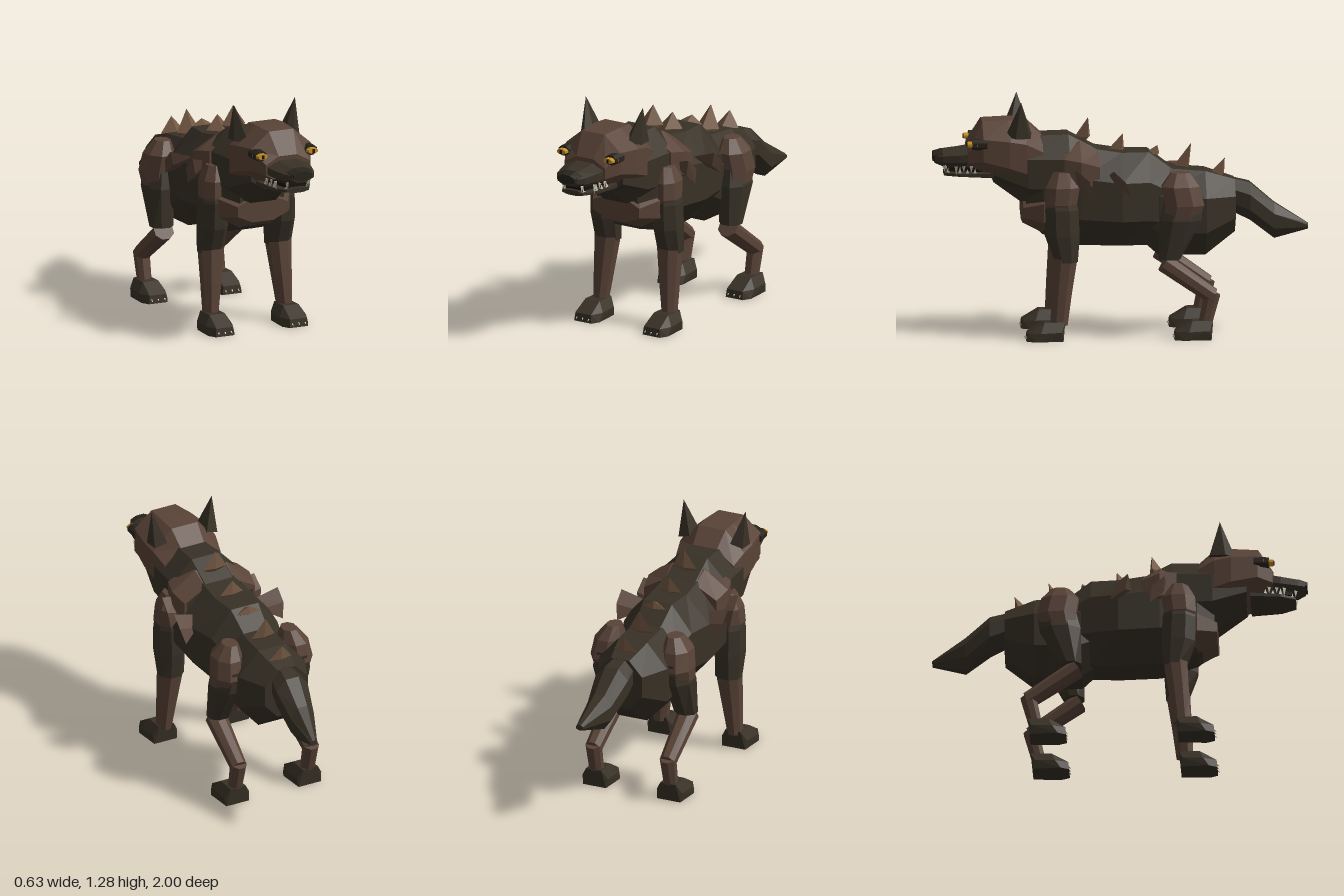
import * as THREE from 'three';
import { ConvexGeometry } from 'three/addons/geometries/ConvexGeometry.js';

const mat = (name, color) => {
  const m = new THREE.MeshStandardMaterial({ color });
  m.name = name;
  return m;
};
const V = (x, y, z) => new THREE.Vector3(x, y, z);

// Ring around a centre: rx across, r along a direction tilted from z (0) to y (90 degrees)
function ring(x, y, z, rx, r, tilt = 0, n = 8) {
  const t = THREE.MathUtils.degToRad(tilt), k = 1 / Math.cos(Math.PI / n), out = [];
  for (let i = 0; i < n; i++) {
    const a = (i + 0.5) / n * Math.PI * 2, c = Math.cos(a) * k * rx, s = Math.sin(a) * k * r;
    out.push(V(x + c, y + s * Math.sin(t), z + s * Math.cos(t)));
  }
  return out;
}
// Upright section given by its bottom and top heights
const slice = ([z, y0, y1, w, x = 0]) => ring(x, (y0 + y1) / 2, z, w, (y1 - y0) / 2, 90);

// Faceted skin through rings, capped at both ends and wound outward
function loft(rings) {
  const tris = [], n = rings[0].length;
  for (let k = 0; k + 1 < rings.length; k++) for (let i = 0; i < n; i++) {
    const j = (i + 1) % n, A = rings[k], B = rings[k + 1];
    tris.push([A[i], A[j], B[j]], [A[i], B[j], B[i]]);
  }
  const F = rings[0], L = rings[rings.length - 1];
  for (let i = 1; i + 1 < n; i++) tris.push([F[0], F[i + 1], F[i]], [L[0], L[i], L[i + 1]]);
  let vol = 0;
  for (const [a, b, c] of tris) vol += a.dot(b.clone().cross(c));
  if (vol < 0) tris.forEach(t => t.reverse());
  const g = new THREE.BufferGeometry().setFromPoints(tris.flat());
  g.computeVertexNormals();
  return g;
}

export function createModel() {
  const root = new THREE.Group();
  root.name = 'wolfBeast';
  const fur = mat('darkFur', 0x383126), brown = mat('brownHide', 0x594337),
    tan = mat('spineTan', 0x745843), gold = mat('eyeGold', 0xc98f22),
    bone = mat('toothBone', 0xc9c4b0), black = mat('mouthBlack', 0x17130f),
    nose = mat('noseDark', 0x28231c);
  const add = (name, geo, m) => {
    const mesh = new THREE.Mesh(geo, m);
    mesh.name = name;
    root.add(mesh);
    return mesh;
  };
  const slices = (name, m, list) => add(name, loft(list.map(slice)), m);
  const hull = (name, m, pts) => add(name, new ConvexGeometry(pts.map(p => V(...p))), m);
  const limb = (name, m, list) => add(name, loft(list.map(a => ring(...a))), m);

  // Trunk
  slices('ribcage', fur, [[0.51, 0.63, 0.85, 0.13], [0.42, 0.55, 0.97, 0.19], [0.22, 0.49, 1.02, 0.22],
    [0, 0.485, 0.985, 0.23], [-0.15, 0.485, 0.985, 0.2], [-0.29, 0.5, 0.88, 0.17]]);
  slices('chestPlate', brown, [[0.525, 0.61, 0.74, 0.15], [0.42, 0.56, 0.8, 0.21], [0.36, 0.6, 0.8, 0.2]]);
  slices('rump', fur, [[-0.12, 0.5, 0.88, 0.15], [-0.2, 0.43, 0.9, 0.19], [-0.45, 0.43, 0.88, 0.2], [-0.61, 0.55, 0.83, 0.13]]);
  slices('neck', fur, [[0.68, 0.83, 1, 0.15], [0.5, 0.7, 1.08, 0.19], [0.28, 0.68, 1.085, 0.2], [0.12, 0.75, 1, 0.2]]);
  slices('mane', brown, [[0.31, 0.8, 1.04, 0.21], [0.22, 0.73, 1.05, 0.235], [0.12, 0.76, 0.995, 0.215]]);
  slices('tail', fur, [[-0.52, 0.69, 0.85, 0.07], [-0.69, 0.61, 0.81, 0.095, 0.01],
    [-0.82, 0.51, 0.7, 0.07, 0.02], [-1, 0.56, 0.59, 0.02, 0.05]]);

  // Head and muzzle
  slices('skull', brown, [[0.82, 0.9, 1.04, 0.13], [0.74, 0.87, 1.16, 0.175], [0.6, 0.82, 1.165, 0.195],
    [0.51, 0.78, 1.16, 0.19], [0.42, 0.82, 1.08, 0.17]]);
  slices('upperMuzzle', fur, [[0.74, 0.92, 1.03, 0.13], [0.86, 0.915, 1.01, 0.115], [0.95, 0.915, 1, 0.09], [0.99, 0.93, 0.99, 0.06]]);
  slices('nosePad', nose, [[0.95, 0.94, 1.003, 0.075], [1, 0.94, 0.99, 0.055]]);
  slices('mouthInside', black, [[0.74, 0.875, 0.93, 0.1], [0.92, 0.88, 0.93, 0.07]]);
  slices('lowerJaw', fur, [[0.7, 0.85, 0.9, 0.13], [0.86, 0.857, 0.893, 0.11], [0.94, 0.862, 0.89, 0.065]]);

  // Back spines: base z, base y, tip z, tip y
  for (const [z, y, tz, ty] of [[0.22, 1.02, 0.17, 1.165], [0.04, 0.96, -0.015, 1.075],
    [-0.15, 0.95, -0.2, 1.01], [-0.3, 0.85, -0.38, 1.02], [-0.49, 0.82, -0.56, 0.94]]) {
    const my = y + (ty - y) * 0.3, mz = z + (tz - z) * 0.3;
    hull('backSpine', tan, [[0, y - 0.02, z], [0.07, my, mz - 0.03], [-0.07, my, mz - 0.03],
      [0, my, mz + 0.035], [0, my, mz - 0.045], [0, ty, tz]]);
  }

  // Mirrored parts
  for (const s of [1, -1]) {
    const side = s > 0 ? 'left' : 'right';
    const sHull = (name, m, pts) => hull(side + name, m, pts.map(([x, y, z]) => [x * s, y, z]));
    const sLimb = (name, m, list) => limb(side + name, m, list.map(([x, ...r]) => [x * s, ...r]));
    const box = (name, m, w, h, d, x, y, z) =>
      add(side + name, new THREE.BoxGeometry(w, h, d), m).position.set(x * s, y, z);

    // Ear
    sHull('Ear', fur, [[0.1, 1.09, 0.58], [0.195, 1.08, 0.57], [0.19, 1.08, 0.49], [0.12, 1.1, 0.48],
      [0.14, 1.09, 0.62], [0.183, 1.277, 0.54]]);

    // Eye with dark socket and pupil
    sLimb('EyeSocket', nose, [[0.15, 1.047, 0.72, 0.038, 0.03, 90], [0.15, 1.047, 0.8, 0.034, 0.027, 90]]);
    sLimb('Eye', gold, [[0.15, 1.047, 0.77, 0.036, 0.018, 90], [0.15, 1.047, 0.825, 0.026, 0.014, 90]]);
    box('Pupil', black, 0.012, 0.022, 0.006, 0.15, 1.047, 0.826);

    // Teeth
    for (const [x, z, len] of [[0.112, 0.8, 0.035], [0.106, 0.84, 0.03], [0.1, 0.88, 0.05], [0.06, 0.94, 0.035]]) {
      sHull('UpperTooth', bone, [[x - 0.008, 0.922, z - 0.008], [x + 0.008, 0.922, z - 0.008], [x, 0.922, z + 0.01], [x, 0.922 - len, z]]);
      sHull('LowerTooth', bone, [[x - 0.007, 0.885, z - 0.028], [x + 0.007, 0.885, z - 0.028], [x, 0.885, z - 0.01], [x, 0.888 + len * 0.7, z - 0.02]]);
    }

    // Flared tufts on the flank and shoulder
    sHull('FlankTuft', brown, [[0.315, 0.92, 0.055], [0.295, 0.78, -0.04], [0.315, 0.86, -0.01], [0.29, 0.84, 0.04],
      [0.19, 0.88, 0.07], [0.19, 0.83, 0.02]]);
    sHull('ShoulderTuft', brown, [[0.28, 0.92, 0.25], [0.27, 0.77, 0.17], [0.285, 0.86, 0.18], [0.26, 0.83, 0.24],
      [0.18, 0.9, 0.26], [0.18, 0.83, 0.19]]);

    // Front leg
    sLimb('Shoulder', brown, [[0.18, 0.9, 0.32, 0.05, 0.05], [0.2, 0.82, 0.32, 0.065, 0.09],
      [0.205, 0.73, 0.33, 0.065, 0.085], [0.2, 0.66, 0.33, 0.05, 0.06]]);
    sLimb('FrontUpperLeg', fur, [[0.2, 0.8, 0.33, 0.05, 0.07], [0.2, 0.7, 0.325, 0.072, 0.088],
      [0.2, 0.56, 0.32, 0.075, 0.09], [0.2, 0.42, 0.3, 0.068, 0.06]]);
    sLimb('FrontLowerLeg', brown, [[0.2, 0.44, 0.305, 0.067, 0.063], [0.21, 0.25, 0.325, 0.052, 0.053], [0.22, 0.08, 0.34, 0.038, 0.045]]);

    // Hind leg
    sLimb('Hip', brown, [[0.18, 0.89, -0.31, 0.04, 0.05], [0.2, 0.82, -0.31, 0.075, 0.1],
      [0.21, 0.72, -0.33, 0.08, 0.105], [0.22, 0.58, -0.29, 0.055, 0.07]]);
    sLimb('Thigh', fur, [[0.2, 0.76, -0.33, 0.06, 0.1], [0.21, 0.64, -0.31, 0.075, 0.11], [0.215, 0.43, -0.25, 0.06, 0.055]]);
    sLimb('HindShin', brown, [[0.215, 0.41, -0.22, 0.055, 0.048, 125], [0.22, 0.225, -0.485, 0.042, 0.043, 115]]);
    sLimb('HindHock', brown, [[0.22, 0.25, -0.48, 0.041, 0.042, 20], [0.22, 0.08, -0.44, 0.036, 0.036]]);

    // Paws with claws
    for (const [name, z] of [['FrontPaw', 0.41], ['HindPaw', -0.38]]) {
      const pts = [];
      for (const d of [1, -1]) pts.push(
        [0.22 + d * 0.055, 0, z + 0.105], [0.22 + d * 0.078, 0, z + 0.06], [0.22 + d * 0.068, 0, z - 0.09],
        [0.22 + d * 0.05, 0.045, z + 0.1], [0.22 + d * 0.078, 0.045, z + 0.03], [0.22 + d * 0.075, 0.05, z - 0.08],
        [0.22 + d * 0.045, 0.1, z + 0.01], [0.22 + d * 0.045, 0.1, z - 0.1]);
      sHull(name, fur, pts);
      for (const o of [-0.038, 0, 0.038]) sHull(name + 'Claw', bone, [[0.22 + o - 0.007, 0.03, z + 0.095],
        [0.22 + o + 0.007, 0.03, z + 0.095], [0.22 + o, 0.015, z + 0.095], [0.22 + o, 0.012, z + 0.115]]);
    }
  }
  return root;
}
